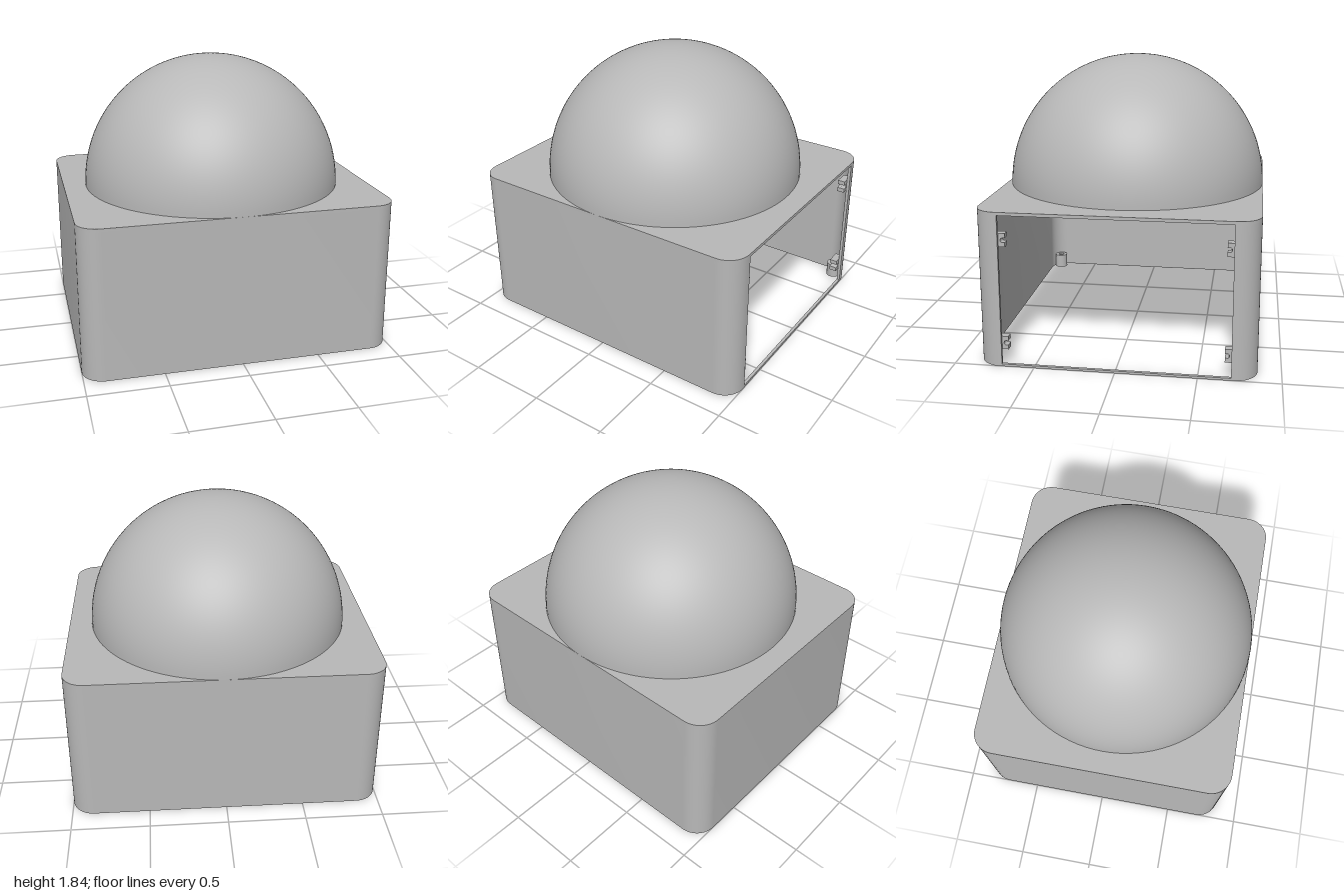
import * as THREE from 'three';
import { toCreasedNormals } from 'three/addons/utils/BufferGeometryUtils.js';

const W = 1, D = 0.855, R = 0.14;    // half width, half depth, corner radius
const H = 0.98, T = 0.02;            // box height, wall thickness
const OPEN = 0.7;                    // half width of the side opening

// Plan outline of the box inset by t, from the opening's one jamb round to the other
function planPoints(t) {
  const pts = [[W - t, OPEN]];
  const corners = [[1, 1, 0], [-1, 1, 1], [-1, -1, 2], [1, -1, 3]];
  for (const [sx, sz, quarter] of corners) {
    for (let i = 0; i <= 12; i++) {
      const a = (quarter + i / 12) * Math.PI / 2;
      pts.push([sx * (W - R) + (R - t) * Math.cos(a), sz * (D - R) + (R - t) * Math.sin(a)]);
    }
  }
  pts.push([W - t, -OPEN]);
  return pts.map(([x, y]) => new THREE.Vector2(x, y));
}

function extrude(shape, depth, curveSegments = 24) {
  return new THREE.ExtrudeGeometry(shape, { depth, bevelEnabled: false, curveSegments });
}

// Plan shape pulled upward from height y
function upright(shape, depth, y, curveSegments) {
  const geo = extrude(shape, depth, curveSegments).rotateX(-Math.PI / 2).translate(0, y, 0);
  return toCreasedNormals(geo, 0.6);
}

function circleHole(r) {
  return new THREE.Path().absarc(0, 0, r, 0, Math.PI * 2, true);
}

// Half dome profile, bottom to top
function domeProfile(r) {
  const pts = [];
  for (let i = 0; i <= 40; i++) {
    const a = i / 40 * Math.PI / 2;
    pts.push(new THREE.Vector2(i === 40 ? 0 : r * Math.cos(a), r * Math.sin(a)));
  }
  return pts;
}

export function createModel() {
  const model = new THREE.Group();
  const grey = new THREE.MeshStandardMaterial({ color: 0xb8b8b8 });
  grey.name = 'grey plastic';
  const add = (name, geo, parent = model) => {
    const mesh = new THREE.Mesh(geo, grey);
    mesh.name = name;
    parent.add(mesh);
    return mesh;
  };

  // Walls, open below and on the +x side
  const wallShape = new THREE.Shape([...planPoints(0), ...planPoints(T).reverse()]);
  add('walls', upright(wallShape, H - T, 0));

  // Top plate with the round hole under the dome
  const topShape = new THREE.Shape(planPoints(0));
  topShape.holes.push(circleHole(D - T));
  add('topPlate', upright(topShape, T, H - T, 96));

  // Thin sill under the side opening
  add('sill', new THREE.BoxGeometry(T, 0.015, OPEN * 2).translate(W - T / 2, 0.0075, 0));

  // Hollow dome
  add('domeOuter', new THREE.LatheGeometry(domeProfile(D), 96)).position.y = H;
  add('domeLining', new THREE.LatheGeometry(domeProfile(D - T).reverse(), 96)).position.y = H;

  // Slotted clips behind the jambs
  const clip = new THREE.Shape();
  const inner = -0.66, outer = -0.76, half = 0.042, slot = 0.014;
  clip.moveTo(outer, -half);
  clip.lineTo(inner, -half);
  clip.lineTo(inner, -slot);
  clip.lineTo(inner - 0.014, -slot);
  clip.absarc(inner - 0.014, 0, slot, -Math.PI / 2, Math.PI / 2, true);
  clip.lineTo(inner, slot);
  clip.lineTo(inner, half);
  clip.lineTo(outer, half);
  clip.closePath();
  const clipGeo = toCreasedNormals(extrude(clip, 0.05, 8).rotateY(Math.PI / 2), 0.6);
  for (const y of [0.147, 0.803]) {
    for (const side of [1, -1]) {
      const mesh = add('clip', clipGeo);
      mesh.position.set(W - T - 0.05, y, 0);
      if (side < 0) mesh.rotation.x = Math.PI;
    }
  }

  // Screw posts in the bottom corners
  const post = new THREE.Shape().absarc(0, 0, 0.046, 0, Math.PI * 2, false);
  post.holes.push(circleHole(0.022));
  const postGeo = upright(post, 0.1, 0, 24);
  for (const sx of [1, -1]) {
    for (const sz of [1, -1]) add('screwPost', postGeo).position.set(sx * 0.915, 0.001, sz * 0.77);
  }
  return model;
}
